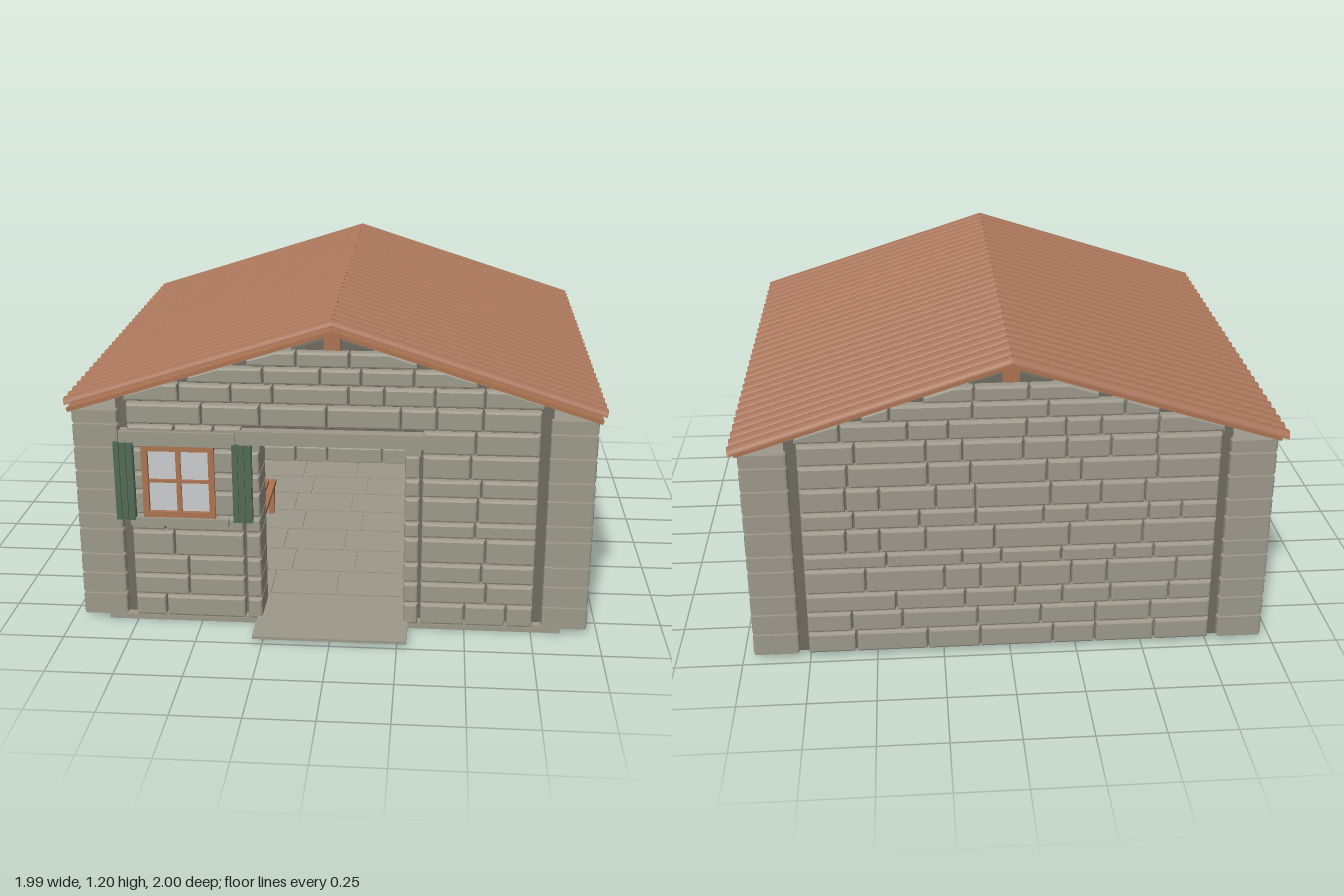
import * as THREE from 'three';
import { mergeGeometries } from 'three/addons/utils/BufferGeometryUtils.js';

const mat = (name, color) => Object.assign(new THREE.MeshStandardMaterial({ color }), { name });
const M = {
  stone: mat('stone', 0x9d998b),
  mortar: mat('mortar', 0x6e6b60),
  tile: mat('roof tile', 0xa87459),
  wood: mat('wood', 0xad7452),
  green: mat('green paint', 0x536b58),
  glass: mat('window glass', 0xcbccce),
};

let seed = 7;
const rnd = () => (seed = (seed * 16807) % 2147483647) / 2147483647;

const THICK = 0.17;
const roofY = (x) => 1.148 - 0.31 * Math.abs(x);      // underside of the roof
const COURSES = [0.015, 0.105, 0.19, 0.27, 0.373, 0.437, 0.535, 0.608, 0.703, 0.795];
const GABLE = [0.883, 0.957, 1.024, 1.088];

function mesh(name, geo, material) {
  const m = new THREE.Mesh(geo, material);
  m.name = name;
  return m;
}

// box given by its limits
function box(name, material, x0, x1, y0, y1, z0, z1) {
  const m = mesh(name, new THREE.BoxGeometry(x1 - x0, y1 - y0, z1 - z0), material);
  m.position.set((x0 + x1) / 2, (y0 + y1) / 2, (z0 + z1) / 2);
  return m;
}

// one bevelled stone, its top cut to the roof slope when needed
function stone(x0, x1, y0, y1, clip) {
  const g = 0.003, b = 0.009;
  x0 += g; x1 -= g; y0 += g; y1 -= g;
  const top = (x) => (clip ? Math.min(y1, roofY(x)) : y1);
  const pts = [[x0, y0], [x1, y0], [x1, top(x1)]];
  const kink = (1.148 - y1) / 0.31;
  if (clip && kink < x1 - 0.01 && kink > x0 + 0.01) pts.push([kink, y1]);
  if (clip && -kink > x0 + 0.01 && -kink < x1 - 0.01) pts.push([-kink, y1]);
  pts.push([x0, top(x0)]);
  const shape = new THREE.Shape(pts.map((p) => new THREE.Vector2(...p)));
  return new THREE.ExtrudeGeometry(shape, {
    depth: THICK - 2 * b, bevelThickness: b, bevelSize: b, bevelOffset: -b, bevelSegments: 2,
  }).translate(0, 0, b);
}

// fill one run of a course with stones of uneven length
function fillRun(list, a, b, y0, y1, clip) {
  let x = a;
  while (b - x > 0.001) {
    let next = x + 0.12 + rnd() * 0.17;
    if (b - next < 0.09) next = b;
    list.push(stone(x, next, y0, y1, clip));
    x = next;
  }
}

// courses of stones between u0 and u1, leaving openings [u0, u1, y0, y1] free
function masonry(rows, u0, u1, openings, joints = []) {
  const list = [];
  for (let i = 0; i < rows.length - 1; i++) {
    const mid = (rows[i] + rows[i + 1]) / 2;
    const cuts = openings.filter((o) => mid > o[2] && mid < o[3]).sort((a, b) => a[0] - b[0]);
    let x = u0;
    for (const [c0, c1] of [...cuts, ...joints.map((j) => [j, j]), [u1, u1]].sort((a, b) => a[0] - b[0])) {
      fillRun(list, x, c0, rows[i], rows[i + 1], false);
      x = c1;
    }
  }
  return list;
}

function gableStones() {
  const list = [];
  for (let i = 0; i < GABLE.length - 1; i++) {
    const half = (1.148 - GABLE[i]) / 0.31 - 0.09;
    fillRun(list, -half, half, GABLE[i], GABLE[i + 1], true);
  }
  return list;
}

// mortar core behind the stones
function core(outline, holes) {
  const shape = new THREE.Shape(outline.map((p) => new THREE.Vector2(...p)));
  for (const [a, b, c, d] of holes) {
    shape.holes.push(new THREE.Path([[a, c], [a, d], [b, d], [b, c]].map((p) => new THREE.Vector2(...p))));
  }
  return new THREE.ExtrudeGeometry(shape, { depth: 0.1, bevelEnabled: false }).translate(0, 0, 0.035);
}

function wall(name, stones, coreGeo) {
  const g = new THREE.Group();
  g.name = name;
  g.add(mesh(name + 'Stones', mergeGeometries(stones), M.stone), mesh(name + 'Mortar', coreGeo, M.mortar));
  return g;
}

// window facing +z, centred at its own origin
function windowUnit(name, w, h) {
  const g = new THREE.Group(), x = w / 2, y = h / 2, t = 0.022;
  g.name = name;
  g.add(box('glass', M.glass, -x, x, -y, y, -0.004, 0.004));
  for (const s of [-1, 1]) {
    g.add(box('frameSide', M.wood, s * (x - t / 2) - t / 2, s * (x - t / 2) + t / 2, -y, y, -0.03, 0.02));
    g.add(box('frameRail', M.wood, -x, x, s * (y - t / 2) - t / 2, s * (y - t / 2) + t / 2, -0.03, 0.019));
  }
  g.add(box('verticalBar', M.wood, -0.009, 0.009, -y, y, -0.012, 0.014));
  g.add(box('crossBar', M.wood, -x, x, -0.006, 0.006, -0.012, 0.012));
  // stone sill and lintel
  g.add(box('sill', M.stone, -x - 0.05, x + 0.05, -y - 0.03, -y, -0.14, 0.03));
  g.add(box('lintel', M.stone, -x - 0.08, x + 0.08, y, y + 0.055, -0.14, 0.025));
  return g;
}

function bench(name, x, z, w, len, h) {
  const g = new THREE.Group();
  g.name = name;
  for (let i = 0; i < 3; i++) {
    const a = -w / 2 + (i * w) / 3;
    g.add(box('plank', M.wood, a + 0.003, a + w / 3 - 0.003, h - 0.02, h, -len / 2, len / 2));
  }
  for (const sx of [-1, 1]) for (const sz of [-1, 1]) {
    const lx = sx * (w / 2 - 0.02), lz = sz * (len / 2 - 0.05);
    g.add(box('leg', M.wood, lx - 0.014, lx + 0.014, 0.02, h - 0.02, lz - 0.014, lz + 0.014));
  }
  g.position.set(x, 0, z);
  return g;
}

export function createModel() {
  const house = new THREE.Group();
  house.name = 'stoneCottage';

  // front and back walls with gables
  const rows = [...COURSES, 0.88];
  const door = [-0.33, 0.33, 0, 0.79], frontWin = [-0.7, -0.44, 0.435, 0.715];
  const gable = [[0.8, 0.89], [0, 1.13], [-0.8, 0.89]];
  const front = wall('frontWall', [...masonry(rows, -0.757, 0.757, [door, frontWin]), ...gableStones()],
    core([[-0.8, 0.01], [-0.3, 0.01], [-0.3, 0.76], [0.3, 0.76], [0.3, 0.01], [0.8, 0.01], ...gable], [frontWin]));
  front.position.z = 0.67;
  const back = wall('backWall', [...masonry(rows, -0.757, 0.757, []), ...gableStones()],
    core([[-0.8, 0.01], [0.8, 0.01], ...gable], []));
  back.position.z = -0.97;
  house.add(front, back);

  // side walls, whose ends form the corners
  const sideWin = [-0.34, -0.06, 0.435, 0.715];
  for (const s of [1, -1]) {
    const holes = s < 0 ? [sideWin] : [];
    const side = wall(s > 0 ? 'leftWall' : 'rightWall',
      masonry([...COURSES, 0.85], -0.97, 0.84, holes, [-0.8, 0.665]),
      core([[-0.94, 0.02], [0.81, 0.02], [0.81, 0.84], [-0.94, 0.84]], holes));
    side.rotation.y = -Math.PI / 2;
    side.position.x = s > 0 ? 0.96 : -0.79;
    house.add(side);
  }

  // door surround
  house.add(box('doorLintel', M.stone, -0.34, 0.34, 0.73, 0.782, 0.67, 0.85));
  for (const s of [-1, 1]) for (let i = 0; i < 8; i++) {
    const jamb = mesh('doorJambStone', stone(-0.03, 0.03, COURSES[i], Math.min(COURSES[i + 1], 0.73), false), M.stone);
    jamb.position.set(s * 0.295, 0, 0.672);
    house.add(jamb);
  }
  for (const s of [-1, 1]) house.add(box('doorJambTop', M.stone, s * 0.295 - 0.03, s * 0.295 + 0.03, 0.7, 0.731, 0.68, 0.838));

  // windows and shutters
  const w1 = windowUnit('frontWindow', 0.27, 0.285);
  w1.position.set(-0.57, 0.575, 0.826);
  const w2 = windowUnit('sideWindow', 0.28, 0.285);
  w2.rotation.y = -Math.PI / 2;
  w2.position.set(-0.968, 0.575, -0.2);
  house.add(w1, w2);
  for (const x of [-0.77, -0.33]) {
    const shutter = new THREE.Group();
    shutter.name = 'shutter';
    shutter.add(box('shutterPanel', M.green, x - 0.037, x + 0.037, 0.425, 0.73, 0.838, 0.854));
    for (const d of [-0.025, 0, 0.025]) shutter.add(box('shutterSlat', M.green, x + d - 0.01, x + d + 0.01, 0.425, 0.73, 0.853, 0.861));
    house.add(shutter);
  }

  // floor, paving and doorstep
  house.add(box('floorSlab', M.stone, -0.86, 0.86, 0, 0.02, -0.92, 0.84));
  for (let r = 0; r < 8; r++) for (let c = 0; c < 6; c++) {
    const x = -0.78 + c * 0.26 + (r % 2 ? 0.06 : 0), z = -0.8 + r * 0.205;
    house.add(box('pavingStone', M.stone, x + 0.004, Math.min(x + 0.256, 0.8), 0.018, 0.026, z + 0.004, z + 0.201));
  }
  house.add(box('doorstep', M.stone, -0.287, 0.287, 0.019, 0.03, 0.66, 1.0));

  // roof: rows of rounded tiles over sloping boards
  const slope = 0.3096, len = 1.04, count = 30, pitch = 1.83 / count;
  const arc = new THREE.Shape();
  arc.absellipse(0, 0, pitch / 2, 0.023, 0, Math.PI, false);
  const rib = new THREE.ExtrudeGeometry(arc, { depth: len, bevelEnabled: false, curveSegments: 10 })
    .rotateY(Math.PI / 2).translate(-0.006, 0, 0).rotateZ(-slope);
  const ribs = [];
  for (let i = 0; i < count; i++) ribs.push(rib.clone().translate(0, 1.177, -1 + (i + 0.5) * pitch));
  const tiles = mergeGeometries(ribs);
  for (const s of [1, -1]) {
    const half = new THREE.Group();
    half.name = s > 0 ? 'leftRoof' : 'rightRoof';
    half.add(mesh('roofTiles', tiles, M.tile));
    const board = mesh('roofBoard', new THREE.BoxGeometry(1.022, 0.015, 1.82).translate(0.508, 0, -0.06).rotateZ(-slope), M.wood);
    board.position.y = 1.16;
    half.add(board);
    if (s < 0) {
      half.rotation.y = Math.PI;
      half.position.z = -0.17;                       // keep both slopes aligned in z
      board.position.z = -0.05;
    }
    house.add(half);
  }
  house.add(box('ridgeBeam', M.wood, -0.03, 0.03, 1.088, 1.147, -0.94, 0.82));

  // furniture and the alcove on the back wall
  house.add(bench('table', -0.6, 0.05, 0.24, 0.5, 0.29));
  house.add(bench('bench', -0.39, 0.03, 0.1, 0.46, 0.17), bench('bench', -0.74, 0.05, 0.08, 0.46, 0.17));
  house.add(box('alcovePanel', M.stone, -0.142, 0.142, 0.37, 0.76, -0.82, -0.77));
  for (const s of [-1, 1]) house.add(box('alcoveSide', M.green, s * 0.149 - 0.008, s * 0.149 + 0.008, 0.37, 0.76, -0.82, -0.74));
  house.add(box('alcoveShelf', M.wood, -0.157, 0.157, 0.35, 0.37, -0.82, -0.72));
  return house;
}
